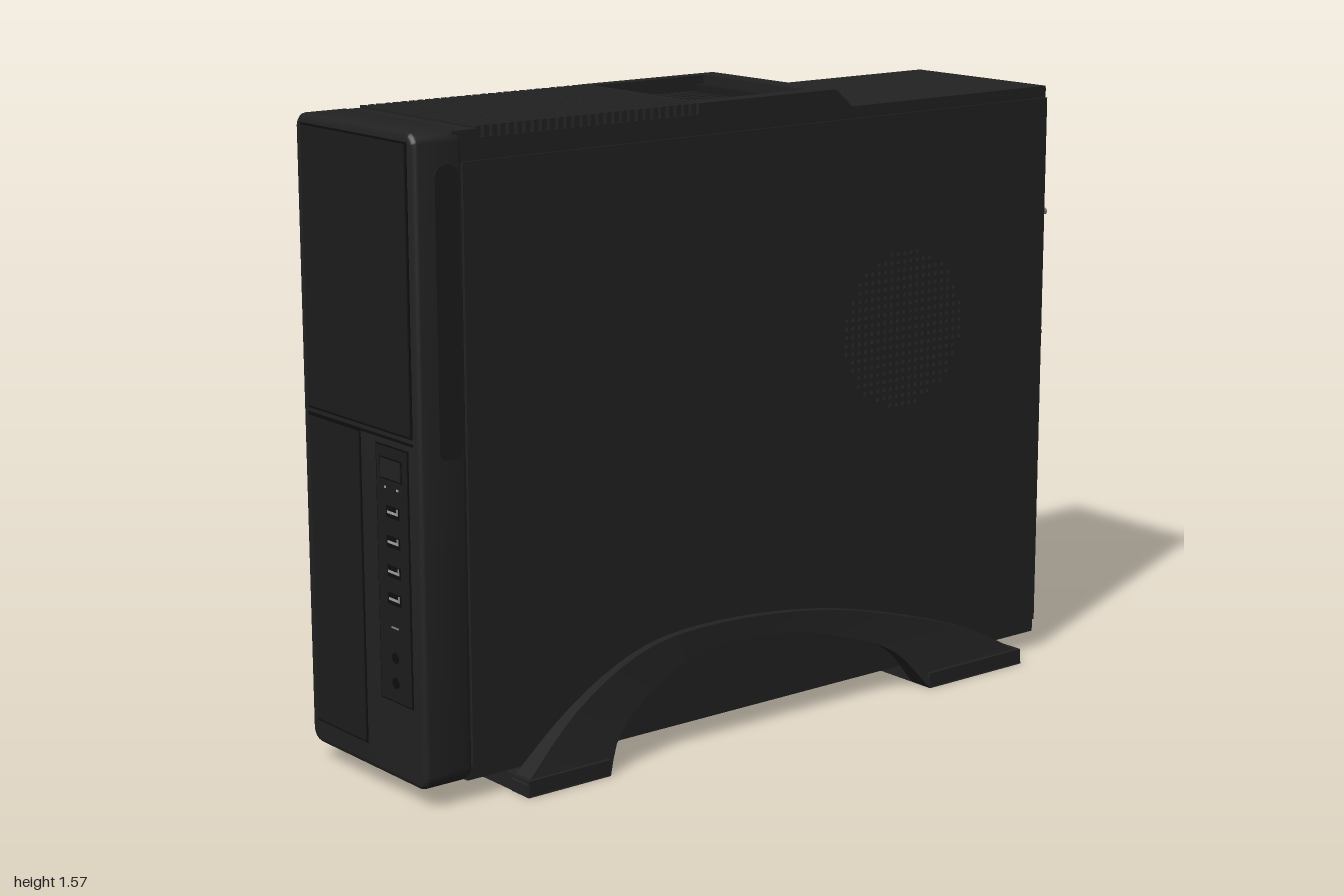
import * as THREE from 'three';
import { toCreasedNormals } from 'three/addons/utils/BufferGeometryUtils.js';

const mat = (name, color) => {
  const m = new THREE.MeshStandardMaterial({ color });
  m.name = name;
  return m;
};

export function createModel() {
  const root = new THREE.Group();
  root.name = 'desktopTower';
  const black = mat('case black', 0x222222);
  const gloss = mat('gloss black', 0x1c1c1c);
  const dark = mat('recess black', 0x0e0e0e);
  const steel = mat('steel', 0x858585);
  const bright = mat('bright steel', 0xa0a0a0);

  const add = (name, geo, m, parent = root) => {
    const mesh = new THREE.Mesh(geo, m);
    mesh.name = name;
    parent.add(mesh);
    return mesh;
  };
  // Box given by its limits on each axis
  const box = (name, m, x0, x1, y0, y1, z0, z1, parent) => {
    const b = add(name, new THREE.BoxGeometry(x1 - x0, y1 - y0, z1 - z0), m, parent);
    b.position.set((x0 + x1) / 2, (y0 + y1) / 2, (z0 + z1) / 2);
    return b;
  };
  const rect = (T, x0, x1, y0, y1, r = 0) => {
    const s = new T();
    if (!r) return s.setFromPoints([[x0, y0], [x1, y0], [x1, y1], [x0, y1]].map(p => new THREE.Vector2(...p)));
    s.moveTo(x0 + r, y0).lineTo(x1 - r, y0).absarc(x1 - r, y0 + r, r, -Math.PI / 2, 0);
    s.lineTo(x1, y1 - r).absarc(x1 - r, y1 - r, r, 0, Math.PI / 2);
    s.lineTo(x0 + r, y1).absarc(x0 + r, y1 - r, r, Math.PI / 2, Math.PI);
    s.lineTo(x0, y0 + r).absarc(x0 + r, y0 + r, r, Math.PI, Math.PI * 1.5);
    return s;
  };
  // Extrudes a (z, y) profile along x between x0 and x1
  const profileX = (name, m, shape, x0, x1, parent) => {
    const g = new THREE.ExtrudeGeometry(shape, { depth: x1 - x0, bevelEnabled: false });
    g.rotateY(-Math.PI / 2).translate(x1, 0, 0);
    return add(name, g, m, parent);
  };
  const poly = pts => new THREE.Shape(pts.map(p => new THREE.Vector2(...p)));

  // Case shell
  box('caseTop', black, -0.236, 0.236, 1.495, 1.52, -0.965, 0.88);
  box('caseBottom', black, -0.236, 0.236, 0.05, 0.075, -0.965, 0.88);

  // Side panels with a round field of square vent holes
  const cz = -0.47, cy = 0.945, pitch = 0.0215, h = 0.0045;
  for (const s of [-1, 1]) {
    const panel = rect(THREE.Shape, -0.965, 0.868, 0.085, 1.49);
    for (let i = -9; i <= 9; i++) for (let j = -9; j <= 9; j++) {
      if (i * i + j * j > 88) continue;
      const z = cz + i * pitch, y = cy + j * pitch;
      panel.holes.push(rect(THREE.Path, z - h, z + h, y - h, y + h));
    }
    const x0 = s > 0 ? 0.232 : -0.243;
    profileX('sidePanel', black, panel, x0, x0 + 0.011);
    for (const [y0, y1] of [[0.06, 0.085], [1.49, 1.508]])
      box('sideRail', black, s > 0 ? 0.225 : -0.237, s > 0 ? 0.237 : -0.225, y0, y1, -0.965, 0.88);
  }

  // Front bezel
  const bezel = new THREE.ExtrudeGeometry(rect(THREE.Shape, -0.231, 0.231, 0.06, 1.553, 0.022), {
    depth: 0.106, bevelThickness: 0.012, bevelSize: 0.012, bevelSegments: 3, curveSegments: 6 });
  bezel.translate(0, 0, 0.88);
  add('frontBezel', toCreasedNormals(bezel, 0.6), black);
  for (const s of [-1, 1]) {
    const grip = add('sideGrip', new THREE.ExtrudeGeometry(rect(THREE.Shape, 0.882, 0.945, 0.82, 1.49, 0.028),
      { depth: 0.004, bevelEnabled: false }), gloss);
    grip.rotation.y = -Math.PI / 2;
    grip.position.x = s > 0 ? 0.246 : -0.242;
  }

  // Front doors and seams
  box('driveDoorSeam', dark, -0.217, 0.217, 0.874, 1.543, 0.995, 1.0);
  box('driveDoor', gloss, -0.212, 0.212, 0.88, 1.538, 0.995, 1.003);
  box('lowerSeam', dark, -0.217, 0.217, 0.858, 0.864, 0.995, 1.0);
  box('lowerDoorSeam', dark, -0.215, 0.003, 0.105, 0.858, 0.995, 0.9995);
  box('lowerDoor', gloss, -0.211, -0.001, 0.11, 0.855, 0.995, 1.002);

  // Control strip with button, lights, ports and jacks
  const strip = new THREE.Group();
  strip.name = 'controlStrip';
  root.add(strip);
  box('stripSeam', dark, 0.066, 0.198, 0.236, 0.844, 0.995, 0.9995, strip);
  box('stripPlate', gloss, 0.07, 0.194, 0.24, 0.84, 0.995, 1.001, strip);
  box('powerButtonSeam', dark, 0.086, 0.174, 0.764, 0.816, 0.996, 1.002, strip);
  box('powerButton', black, 0.09, 0.17, 0.768, 0.812, 0.996, 1.004, strip);
  for (const x of [0.105, 0.155]) box('statusLight', bright, x - 0.004, x + 0.004, 0.743, 0.748, 0.996, 1.002, strip);
  for (const y of [0.69, 0.62, 0.55, 0.485]) {
    box('portOpening', dark, 0.107, 0.161, y - 0.014, y + 0.014, 0.996, 1.002, strip);
    box('portTongue', bright, 0.112, 0.156, y - 0.004, y + 0.002, 0.996, 1.003, strip);
    box('portSide', steel, 0.15, 0.156, y - 0.003, y + 0.011, 0.996, 1.003, strip);
  }
  box('resetSlot', steel, 0.118, 0.148, 0.415, 0.419, 0.996, 1.002, strip);
  for (const y of [0.345, 0.285]) {
    const jack = add('audioJack', new THREE.CylinderGeometry(0.013, 0.013, 0.006, 16), dark, strip);
    jack.rotation.x = Math.PI / 2;
    jack.position.set(0.132, y, 1.0);
  }

  // Raised roof: slatted vent, framed recess and rear slope
  box('ventBase', black, -0.236, 0.236, 1.515, 1.54, 0.18, 0.89);
  for (let i = 0; i < 28; i++) {
    const z = 0.197 + i * 0.0228;
    box('ventSlat', black, -0.234, 0.234, 1.538, 1.566, z, z + 0.0135);
  }
  box('ventFront', black, -0.236, 0.236, 1.53, 1.56, 0.826, 0.89);
  const frame = rect(THREE.Shape, -0.236, 0.236, -0.19, 0.24);
  frame.holes.push(rect(THREE.Path, -0.2, 0.19, -0.17, 0.18));
  const frameGeo = new THREE.ExtrudeGeometry(frame, { depth: 0.05, bevelEnabled: false });
  frameGeo.rotateX(-Math.PI / 2).translate(0, 1.516, 0);
  add('recessFrame', frameGeo, black);
  profileX('roofSlope', black, poly([[-0.295, 1.518], [-0.24, 1.518], [-0.24, 1.566]]), -0.236, 0.236);
  profileX('recessRamp', black, poly([[0.05, 1.518], [0.17, 1.518], [0.17, 1.564], [0.05, 1.526]]), -0.2, 0.19);
  box('recessFloor', gloss, -0.2, 0.19, 1.518, 1.523, -0.18, 0.05);
  box('recessGrille', dark, -0.185, 0.175, 1.52, 1.525, -0.125, 0.045);
  for (let i = 0; i < 13; i++)
    box('recessRib', black, -0.175 + i * 0.027, -0.161 + i * 0.027, 1.522, 1.532, -0.12, 0.04);
  box('recessLip', gloss, -0.2, 0.19, 1.52, 1.545, -0.18, -0.15);

  // Back panel
  box('backFrame', black, -0.236, 0.236, 0.055, 1.515, -0.966, -0.95);
  box('backPlate', steel, -0.218, 0.222, 0.085, 1.495, -0.97, -0.96);
  const socket = add('powerSocket', new THREE.ExtrudeGeometry(
    poly([[-0.02, 1.43], [0.01, 1.4], [0.14, 1.4], [0.17, 1.43], [0.14, 1.475], [0.01, 1.475]]),
    { depth: 0.008, bevelEnabled: false }), dark);
  socket.position.z = -0.977;
  for (const x of [0.045, 0.075, 0.105]) box('socketPin', bright, x - 0.004, x + 0.004, 1.428, 1.448, -0.98, -0.97);
  box('ioPlateSeam', dark, -0.025, 0.2, 0.6, 1.365, -0.972, -0.965);
  box('ioPlate', steel, -0.02, 0.195, 0.605, 1.36, -0.975, -0.965);
  for (const [x, y, w, t] of [[0.15, 1.2, 0.035, 0.1], [0.06, 1.2, 0.03, 0.06], [0.15, 1.31, 0.025, 0.025],
    [0.06, 1.31, 0.025, 0.025], [0.14, 0.96, 0.04, 0.04], [0.14, 0.77, 0.04, 0.035], [0.06, 0.77, 0.04, 0.035]]) {
    box('ioPortRim', bright, x - w / 2 - 0.006, x + w / 2 + 0.006, y - t / 2 - 0.006, y + t / 2 + 0.006, -0.978, -0.97);
    box('ioPort', dark, x - w / 2, x + w / 2, y - t / 2, y + t / 2, -0.98, -0.972);
  }
  for (let i = 0; i < 4; i++) for (let j = 0; j < 24; j++) {
    const x = -0.075 - i * 0.033, y = 0.64 + j * 0.0325;
    box('backVentHole', dark, x - 0.009, x + 0.009, y - 0.009, y + 0.009, -0.972, -0.966);
  }

  // Expansion slot covers and their bracket
  for (let i = 0; i < 4; i++) {
    const y = 0.12 + i * 0.112;
    box('slotGap', dark, -0.17, 0.215, y - 0.012, y - 0.004, -0.973, -0.965);
    profileX('slotCover', steel, poly([[-0.965, y], [-0.965, y + 0.09], [-0.972, y + 0.09], [-0.982, y + 0.045], [-0.972, y]]), -0.17, 0.21);
  }
  box('slotBracket', steel, -0.2, -0.18, 0.17, 0.605, -0.987, -0.965);
  // Thumb screws
  for (const [x, y, r] of [[-0.215, 1.455, 0.016], [-0.215, 0.17, 0.016], [0.225, 1.19, 0.009], [0.225, 0.87, 0.007]]) {
    const screw = add('thumbScrew', new THREE.CylinderGeometry(r, r, r * 2.2, 14), steel);
    screw.rotation.x = Math.PI / 2;
    screw.position.set(x, y, -0.965 - r * 1.1);
  }

  // Stand: arched side legs that flare toward the floor, joined by cross bars
  const curve = pts => new THREE.CatmullRomCurve3(pts.map(([z, y]) => new THREE.Vector3(0, y, z)));
  const N = 32;
  const outer = curve([[0.76, 0.03], [0.6, 0.16], [0.46, 0.24], [0.33, 0.283], [0.12, 0.294],
    [-0.18, 0.265], [-0.45, 0.2], [-0.71, 0.11], [-0.85, 0.03]]).getSpacedPoints(N);
  const inner = curve([[0.52, 0], [0.48, 0.08], [0.35, 0.18], [0.19, 0.235], [-0.02, 0.235],
    [-0.23, 0.19], [-0.42, 0.11], [-0.52, 0]]).getSpacedPoints(N);
  outer.unshift(new THREE.Vector3(0, 0, 0.76));
  inner.unshift(inner[0].clone());
  outer.push(new THREE.Vector3(0, 0, -0.85));
  inner.push(inner[N + 1].clone());
  const flare = y => 0.264 + 0.047 * Math.pow(1 - Math.min(y, 0.29) / 0.29, 1.7);
  const leg = side => {
    const pos = [], idx = [];
    outer.forEach((o, i) => {
      const n = inner[i];
      pos.push(0.243 * side, o.y, o.z, flare(o.y) * side, o.y, o.z,
        flare(n.y) * side, n.y, n.z, 0.243 * side, n.y, n.z);
    });
    for (let i = 0; i < outer.length - 1; i++) for (let k = 0; k < 4; k++) {
      const a = i * 4 + k, b = i * 4 + (k + 1) % 4, c = a + 4, d = b + 4;
      if (side > 0) idx.push(a, c, b, b, c, d);
      else idx.push(a, b, c, b, d, c);
    }
    const g = new THREE.BufferGeometry();
    g.setAttribute('position', new THREE.Float32BufferAttribute(pos, 3));
    g.setIndex(idx);
    return toCreasedNormals(g, 0.6);
  };
  const standBlack = black.clone();
  standBlack.name = 'stand black';
  standBlack.side = THREE.DoubleSide;
  for (const s of [-1, 1]) add('standLeg', leg(s), standBlack);
  box('frontCrossBar', black, -0.31, 0.31, 0, 0.04, 0.52, 0.758);
  box('rearCrossBar', black, -0.31, 0.31, 0, 0.04, -0.848, -0.52);

  return root;
}
